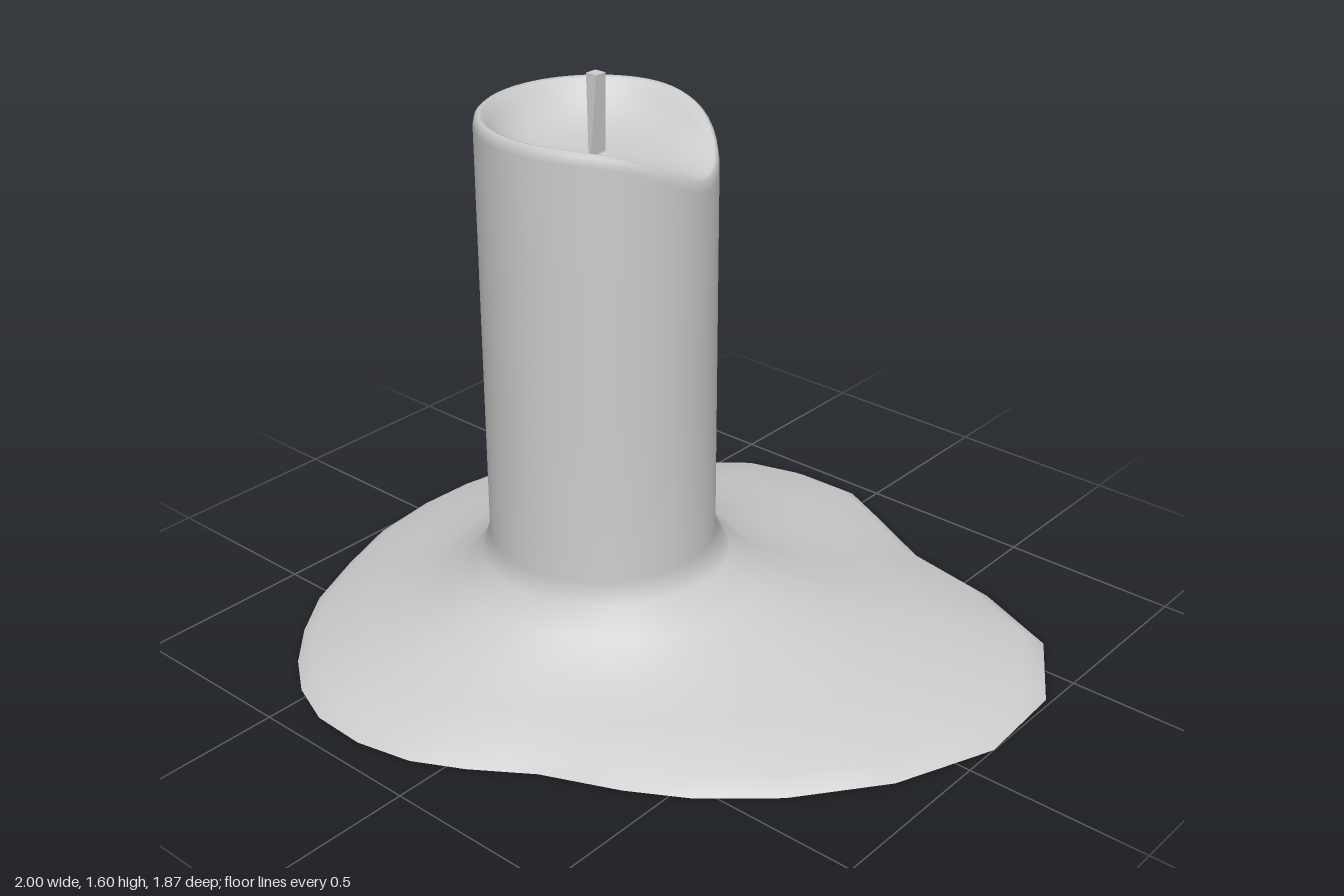
import * as THREE from 'three';

const CX = -0.135, CZ = 0.11, R = 0.306;

// Footprint of the melted wax puddle, as x, z pairs
const OUTLINE = [
  -0.05, -0.94, 0.12, -0.86, 0.31, -0.765, 0.59, -0.715, 0.84, -0.61, 0.985, -0.385, 1, -0.11,
  0.89, 0.165, 0.72, 0.39, 0.55, 0.54, 0.4, 0.63, 0.2, 0.72, 0.05, 0.825, -0.08, 0.895,
  -0.235, 0.93, -0.39, 0.925, -0.52, 0.875, -0.63, 0.795, -0.735, 0.685, -0.83, 0.55,
  -0.91, 0.365, -0.975, 0.18, -1, -0.02, -0.995, -0.19, -0.965, -0.34, -0.885, -0.485,
  -0.74, -0.59, -0.58, -0.7, -0.49, -0.805, -0.39, -0.89, -0.235, -0.935,
];

// Puddle profile: share of the way from column to edge, height
const SKIRT = [[1, 0.007], [0.93, 0.04], [0.64, 0.09], [0.39, 0.13], [0.16, 0.2], [0.045, 0.27], [0, 0.33]];

// Bowl profile: share of the radius, share of the rim height above the bowl floor
const BOWL = [[0.985, 0.93], [0.955, 1], [0.92, 0.97], [0.86, 0.75], [0.75, 0.4], [0.6, 0.16], [0.35, 0.03], [0.002, 0]];
const FLOOR = 1.39;

// Rim height, with a melted dip on one side
function rimHeight(angle) {
  let d = angle + 0.36;
  d = Math.atan2(Math.sin(d), Math.cos(d));
  return 1.503 - 0.135 * Math.exp(-((d / 0.75) ** 2));
}

function waxGeometry() {
  // Directions and edge distances seen from the column's axis, two per outline edge
  const columns = [];
  const count = OUTLINE.length / 2;
  for (let i = 0; i < count; i++) {
    const k = (i + 1) % count;
    for (const t of [0, 0.5]) {
      const x = THREE.MathUtils.lerp(OUTLINE[2 * i], OUTLINE[2 * k], t) - CX;
      const z = THREE.MathUtils.lerp(OUTLINE[2 * i + 1], OUTLINE[2 * k + 1], t) - CZ;
      columns.push({ angle: Math.atan2(z, x), edge: Math.hypot(x, z) });
    }
  }

  // Each row gives radius and height for a column
  const rows = [
    ...SKIRT.map(([f, y]) => (c) => [R + f * (c.edge - R), f === 1 ? y - 0.007 * Math.cos(c.angle) : y]),
    (c) => [R, 0.8],
    (c) => [R, rimHeight(c.angle) - 0.03],
    ...BOWL.map(([f, h]) => (c) => [R * f, FLOOR + h * (rimHeight(c.angle) - FLOOR)]),
  ];

  const positions = [], index = [], n = columns.length;
  rows.forEach((row, i) => {
    columns.forEach((c, j) => {
      const [r, y] = row(c);
      positions.push(CX + r * Math.cos(c.angle), y, CZ + r * Math.sin(c.angle));
      if (i === rows.length - 1) return;
      const a = i * n + j, b = i * n + (j + 1) % n;
      index.push(a, a + n, b, b, a + n, b + n);
    });
  });
  const geometry = new THREE.BufferGeometry();
  geometry.setAttribute('position', new THREE.Float32BufferAttribute(positions, 3));
  geometry.setIndex(index);
  geometry.computeVertexNormals();
  return geometry;
}

// Flat wick, narrow at the bottom in x and at the top in z
function wickGeometry() {
  const geometry = new THREE.BoxGeometry(1, 0.22, 1);
  const p = geometry.attributes.position;
  for (let i = 0; i < p.count; i++) {
    const top = p.getY(i) > 0;
    p.setX(i, p.getX(i) * (top ? 0.034 : 0.006));
    p.setZ(i, p.getZ(i) * (top ? 0.034 : 0.055));
  }
  geometry.computeVertexNormals();
  return geometry;
}

export function createModel() {
  const group = new THREE.Group();
  group.name = 'candle';

  // Column, hollowed top and melted puddle in one open skin
  const wax = new THREE.Mesh(
    waxGeometry(),
    new THREE.MeshStandardMaterial({ color: 0xcccccc, side: THREE.DoubleSide })
  );
  wax.name = 'wax';
  group.add(wax);

  const wick = new THREE.Mesh(wickGeometry(), new THREE.MeshStandardMaterial({ color: 0xcccccc }));
  wick.name = 'wick';
  wick.position.set(CX, 1.49, CZ);
  group.add(wick);

  return group;
}
